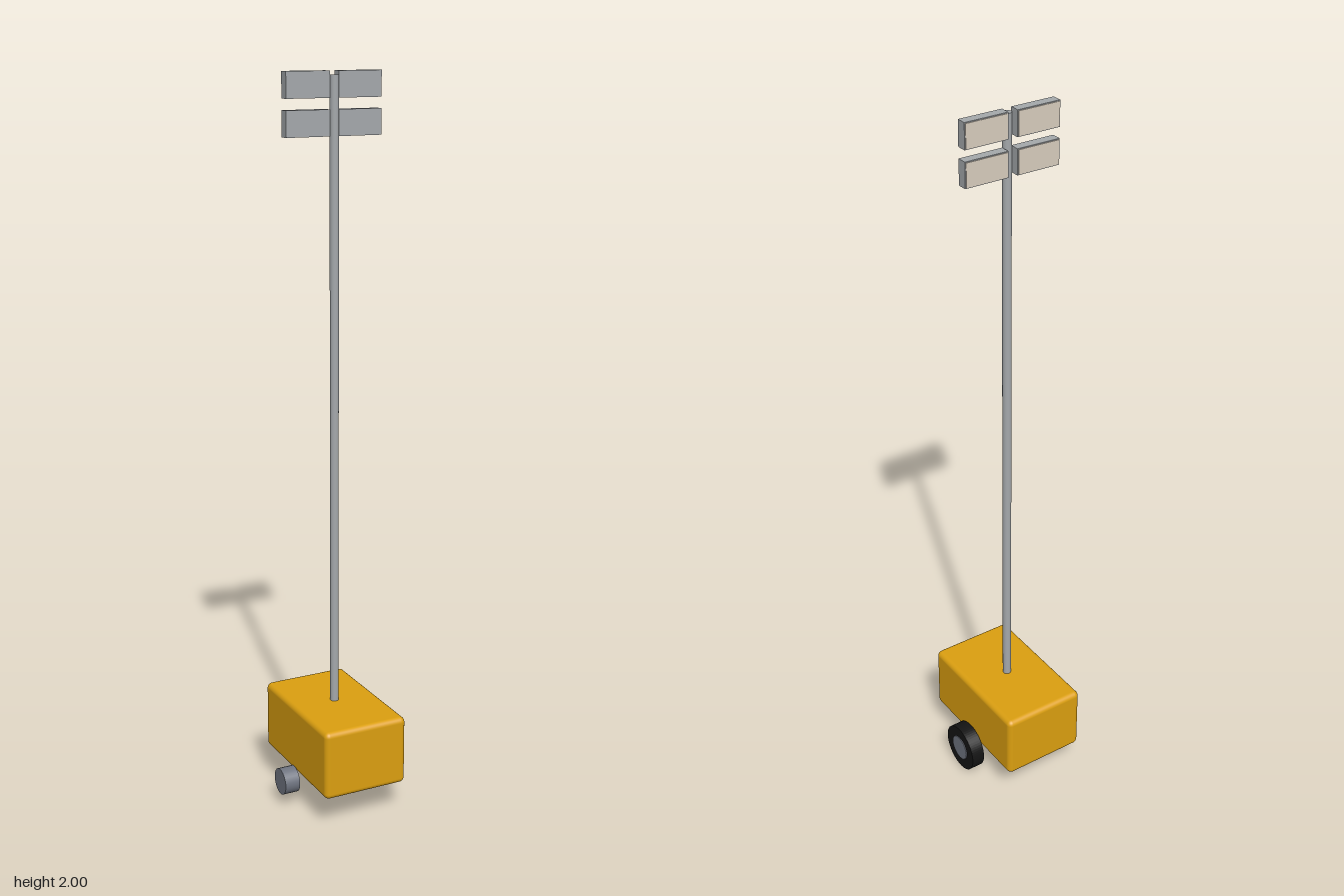
import * as THREE from 'three';
import { RoundedBoxGeometry } from 'three/addons/geometries/RoundedBoxGeometry.js';

export function createModel() {
  const model = new THREE.Group();
  model.name = 'lightTower';

  const material = (name, color) => {
    const m = new THREE.MeshStandardMaterial({ color });
    m.name = name;
    return m;
  };
  const yellow = material('yellow paint', 0xdb9f10);
  const black = material('tyre rubber', 0x141414);
  const steel = material('hub steel', 0x6f7480);
  const grey = material('light grey metal', 0xa4a8ab);
  const cream = material('lamp lens', 0xd8cdbe);

  const add = (name, geometry, mat, x, y, z) => {
    const mesh = new THREE.Mesh(geometry, mat);
    mesh.name = name;
    mesh.position.set(x, y, z);
    model.add(mesh);
    return mesh;
  };

  // Generator housing with softened edges
  add('housing', new RoundedBoxGeometry(0.245, 0.195, 0.39, 4, 0.015), yellow, 0, 0.1875, 0);

  // Mast
  add('mast', new THREE.CylinderGeometry(0.012, 0.012, 1.71, 20), grey, 0, 1.135, 0);

  // Wheel hubs on both sides
  const hub = new THREE.CylinderGeometry(0.037, 0.037, 0.044, 28).rotateZ(Math.PI / 2);
  for (const side of [-1, 1]) {
    add(side > 0 ? 'leftHub' : 'rightHub', hub, steel, side * 0.147, 0.07, 0);
  }

  // Tyre: a ring around the left hub
  const ring = new THREE.Shape().absarc(0, 0, 0.069, 0, Math.PI * 2);
  ring.holes.push(new THREE.Path().absarc(0, 0, 0.0365, 0, Math.PI * 2, true));
  const tyre = new THREE.ExtrudeGeometry(ring, { depth: 0.039, bevelEnabled: false, curveSegments: 32 })
    .translate(0, 0, -0.0195).rotateY(Math.PI / 2);
  add('leftTyre', tyre, black, 0.147, 0.069, 0);

  // Four floodlights, with lenses facing the rear
  const lamp = new THREE.BoxGeometry(0.122, 0.067, 0.027);
  const lens = new THREE.BoxGeometry(0.117, 0.062, 0.002);
  for (const y of [1.871, 1.9665]) {
    for (const side of [-1, 1]) {
      add('floodlight', lamp, grey, side * 0.074, y, -0.0125);
      add('lens', lens, cream, side * 0.074, y, -0.027);
    }
  }

  return model;
}
